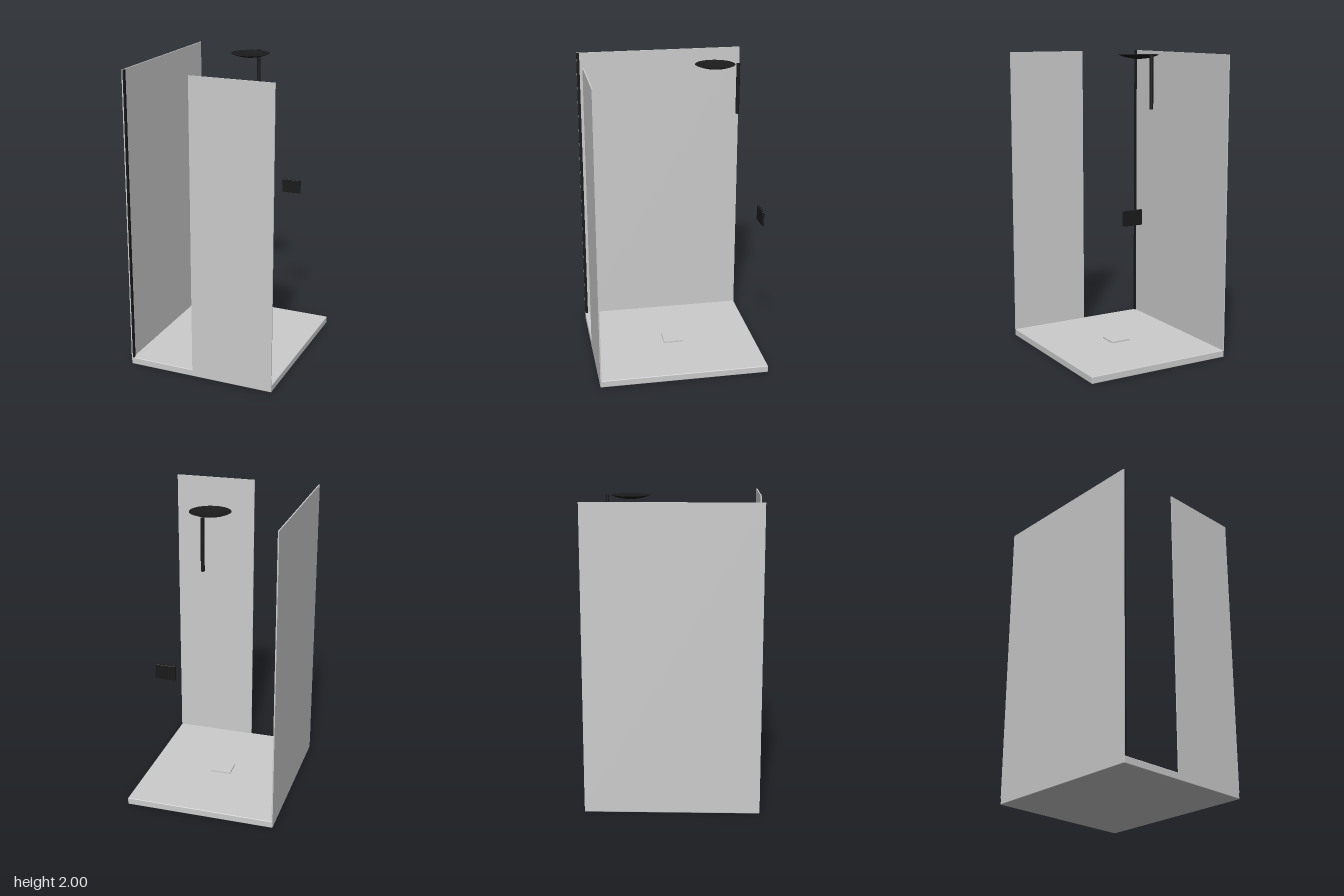
import * as THREE from 'three';
import { RoundedBoxGeometry } from 'three/addons/geometries/RoundedBoxGeometry.js';

const W = 1.006, D = 1.132, BASE_H = 0.047, GLASS = 0.008;

export function createModel() {
  const model = new THREE.Group();
  model.name = 'showerEnclosure';

  const grey = new THREE.MeshStandardMaterial({ color: 0xcccccc });
  grey.name = 'light grey';
  const black = new THREE.MeshStandardMaterial({ color: 0x1a1a1a, side: THREE.DoubleSide });
  black.name = 'matt black';

  const add = (name, geometry, material) => {
    const mesh = new THREE.Mesh(geometry, material);
    mesh.name = name;
    model.add(mesh);
    return mesh;
  };

  // Box given by its lower and upper corners, with optional softened edges
  const box = (name, min, max, material, radius = 0) => {
    const size = max.map((v, i) => v - min[i]);
    const geometry = radius
      ? new RoundedBoxGeometry(...size, 2, radius)
      : new THREE.BoxGeometry(...size);
    const mesh = add(name, geometry, material);
    mesh.position.set(...max.map((v, i) => (v + min[i]) / 2));
    return mesh;
  };

  // Tray and square drain cover
  box('showerTray', [-W / 2, 0, -D / 2], [W / 2, BASE_H, D / 2], grey, 0.005);
  box('drainCover', [-0.067, BASE_H - 0.005, -0.067], [0.067, 0.057, 0.067], grey);

  // Fixed panels: full-depth side and partial front
  box('sidePanel', [-W / 2, BASE_H - 0.006, -D / 2], [-W / 2 + GLASS, 2, D / 2], grey);
  box('frontPanel', [-0.052, BASE_H - 0.006, D / 2 - GLASS], [W / 2, 2, D / 2], grey);

  // Dark seal at the front edge of the side panel
  box('doorSeal', [-W / 2 + GLASS, BASE_H, 0.547], [-0.485, 2, D / 2], black);

  // Shallow open dish for the shower head
  const radius = 0.13, depth = 0.027;
  const sphere = (radius ** 2 + depth ** 2) / (2 * depth);
  const sweep = Math.asin(radius / sphere);
  const profile = [];
  for (let i = 0; i <= 10; i++) {
    const a = (sweep * i) / 10;
    profile.push(new THREE.Vector2(sphere * Math.sin(a), sphere * (1 - Math.cos(a)) - depth));
  }
  add('showerHead', new THREE.LatheGeometry(profile, 48), black).position.set(0, 2, -0.282);

  // Upright pipe behind the head
  add('showerPipe', new THREE.CylinderGeometry(0.012, 0.012, 0.333, 20), black)
    .position.set(0, 1.8335, -0.435);

  // Control plate on the rear wall line
  box('controlPlate', [0.144, 0.97, -D / 2], [0.277, 1.066, -0.55], black, 0.003);

  return model;
}
